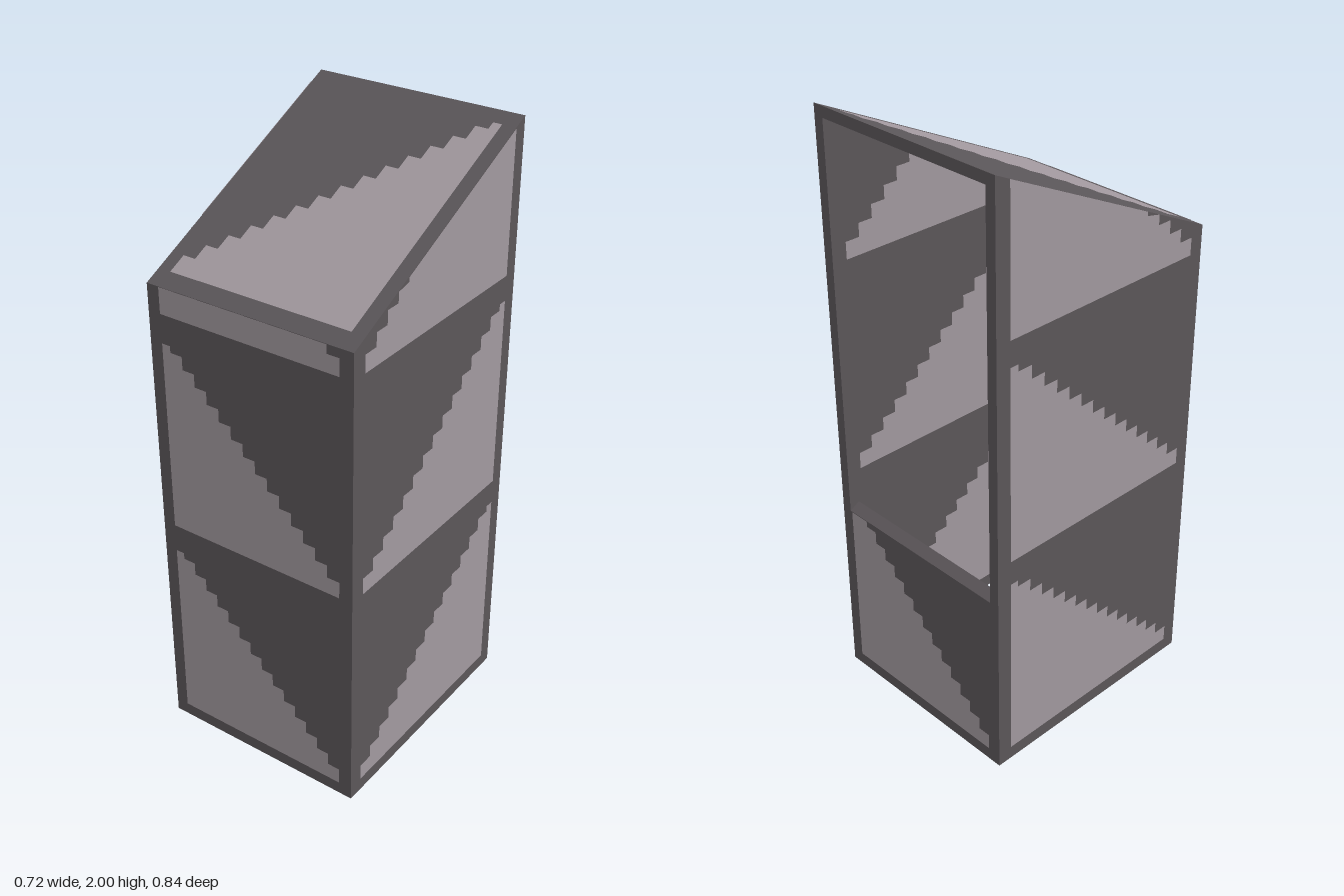
import * as THREE from 'three';

const W = 0.36, D = 0.42, T = 0.035, GAP = 0.002; // half width, half depth, wall thickness, plate offset
const BACK_TOP = 0.64;
const roofY = (z) => 1.8 - (0.2 * z) / D;

// Stepped right triangle: square corner at (u0, v0), blunt tips at u1 and v1, cut off above clip(u)
function steppedTriangle(u0, u1, v0, v1, clip) {
  const tipU = Math.sign(u1 - u0) * 0.03, tipV = Math.sign(v1 - v0) * 0.035, steps = 14;
  const pts = [[u0, v0], [u1, v0]];
  for (let i = 0; i <= steps; i++) {
    const u = THREE.MathUtils.lerp(u1, u0 + tipU, i / steps);
    for (const k of [-0.5, 0.5]) {
      const s = THREE.MathUtils.clamp((i + k) / steps, 0, 1);
      pts.push([u, THREE.MathUtils.lerp(v0 + tipV, v1, s)]);
    }
  }
  pts.push([u0, v1]);
  return new THREE.Shape(pts.map(([u, v]) => new THREE.Vector2(u, Math.min(v, clip(u)))));
}

export function createModel() {
  const group = new THREE.Group();
  const dark = new THREE.MeshStandardMaterial({ color: 0x5c575a, side: THREE.DoubleSide });
  dark.name = 'dark grey';
  const light = new THREE.MeshStandardMaterial({ color: 0xa39aa0, side: THREE.DoubleSide });
  light.name = 'light grey';

  const add = (name, geometry, material) => {
    const mesh = new THREE.Mesh(geometry, material);
    mesh.name = name;
    group.add(mesh);
    return mesh;
  };
  // Extrudes a (z, y) profile along x
  const slab = (name, profile, x0, x1) => {
    const shape = new THREE.Shape(profile.map(([z, y]) => new THREE.Vector2(-z, y)));
    const g = new THREE.ExtrudeGeometry(shape, { depth: x1 - x0, bevelEnabled: false });
    g.rotateY(Math.PI / 2).translate(x0, 0, 0);
    add(name, g, dark);
  };
  // Light triangle placed by a rule that maps (u, v) to a point
  const plate = (name, [u0, u1, v0, v1], clip, place) => {
    const g = new THREE.ShapeGeometry(steppedTriangle(u0, u1, v0, v1, clip));
    const p = g.attributes.position;
    for (let i = 0; i < p.count; i++) p.setXYZ(i, ...place(p.getX(i), p.getY(i)));
    g.computeVertexNormals();
    add(name, g, light);
  };

  // Shell: open below and in the upper back
  for (const [name, x0] of [['leftWall', W - T], ['rightWall', -W]])
    slab(name, [[D, 0], [-D, 0], [-D, 2], [D, 1.6]], x0, x0 + T);
  const inner = W - T;
  slab('frontWall', [[D, 0], [D - T, 0], [D - T, roofY(D - T) - T], [D, 1.6 - T]], -inner, inner);
  slab('backPanel', [[-D + T, 0], [-D, 0], [-D, BACK_TOP], [-D + T, BACK_TOP + 0.02]], -inner, inner);
  slab('roof', [[D, 1.6 - T], [-D, 2 - T], [-D, 2], [D, 1.6]], -inner, inner);

  // Triangles on the walls, three tiles high, outside and inside
  for (let i = 0; i < 3; i++) {
    const y = 0.735 * i;
    const front = [-0.315, 0.315, y + 0.045, y + 0.685];
    plate('frontTriangle', front, () => 1.6, (u, v) => [u, v, D + GAP]);
    plate('frontInnerTriangle', front, () => 1.6 - T, (u, v) => [u, v, D - T - GAP]);
    for (const s of [1, -1]) {
      const side = [-0.37, 0.37, y + 0.048, y + 0.7];
      const insideTri = s > 0 ? [0.37, -0.37, side[2], side[3]] : side;
      plate('sideTriangle', side, roofY, (u, v) => [s * (W + GAP), v, u]);
      plate('sideInnerTriangle', insideTri, (z) => roofY(z) - T, (u, v) => [s * (inner - GAP), v, u]);
    }
  }
  const back = [0.315, -0.315, 0.045, 0.685];
  plate('backTriangle', back, () => BACK_TOP, (u, v) => [u, v, -D - GAP]);
  plate('backInnerTriangle', back, () => BACK_TOP, (u, v) => [u, v, -D + T + GAP]);

  // Triangles over and under the roof
  const noClip = () => Infinity;
  plate('roofTriangle', [0.315, -0.315, 0.368, -0.37], noClip, (u, v) => [u, roofY(v) + GAP, v]);
  plate('roofInnerTriangle', [-0.315, 0.315, 0.368, -0.37], noClip, (u, v) => [u, roofY(v) - T - GAP, v]);

  return group;
}
